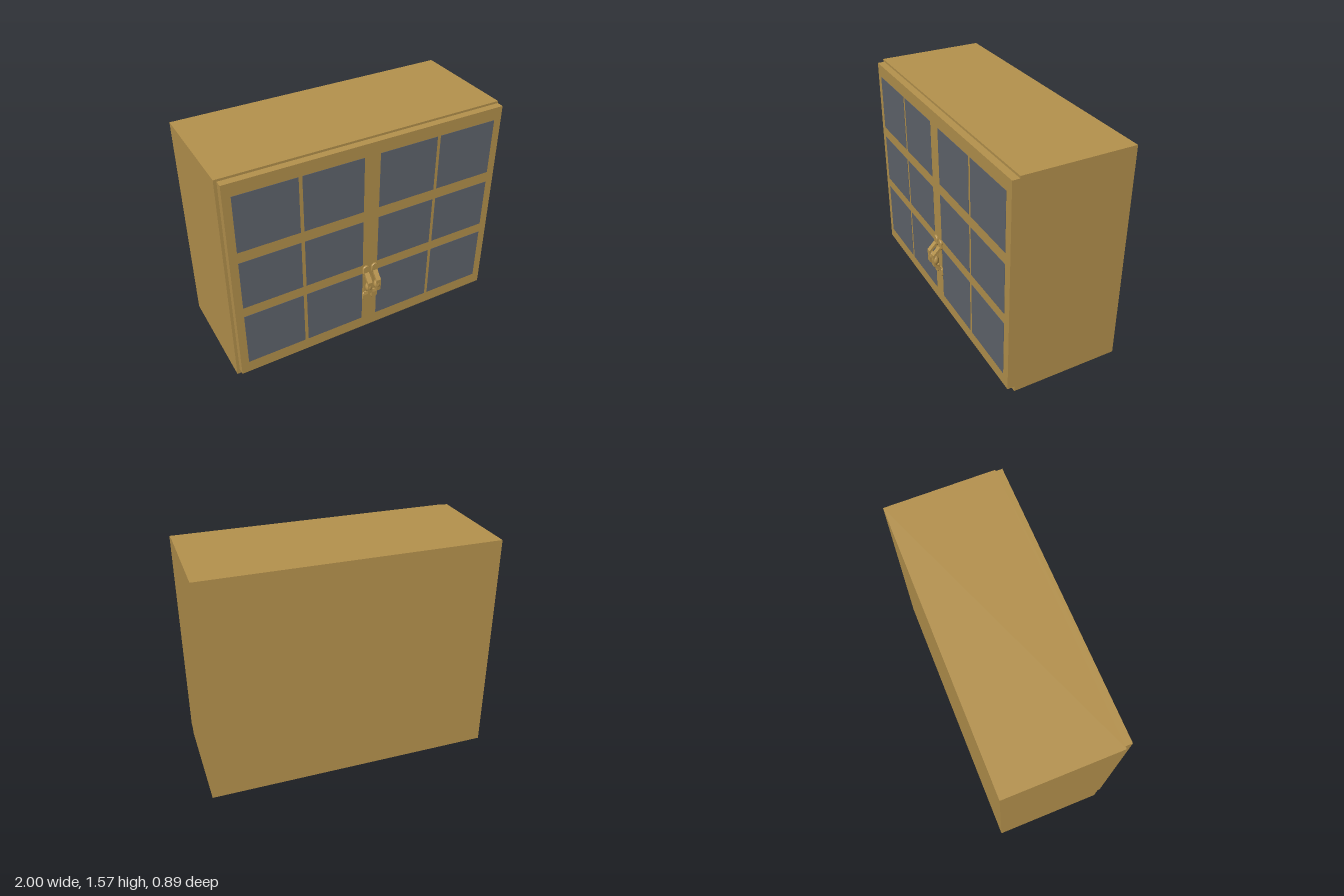
import * as THREE from 'three';

export function createModel() {
  const group = new THREE.Group();
  const wood = new THREE.MeshStandardMaterial({ name: 'wood', color: 0xb5924d });
  const glass = new THREE.MeshStandardMaterial({ name: 'greyGlass', color: 0x60656d });

  const add = (parent, name, geometry, material) => {
    const mesh = new THREE.Mesh(geometry, material);
    mesh.name = name;
    parent.add(mesh);
    return mesh;
  };
  // Box given by its limits on each axis
  const box = (name, material, x0, x1, y0, y1, z0, z1) =>
    add(group, name, new THREE.BoxGeometry(x1 - x0, y1 - y0, z1 - z0), material)
      .position.set((x0 + x1) / 2, (y0 + y1) / 2, (z0 + z1) / 2);

  // Cabinet and door panel
  box('cabinetBody', wood, -1, 1, 0, 1.57, -0.445, 0.325);
  box('doorPanel', wood, -0.98, 1, 0.04, 1.555, 0.325, 0.375);

  // Window panes, four columns by three rows
  const columns = [[-0.925, -0.503], [-0.478, -0.053], [0.062, 0.488], [0.512, 0.942]];
  const rows = [[0.13, 0.54], [0.615, 0.98], [1.06, 1.465]];
  for (const [x0, x1] of columns)
    for (const [y0, y1] of rows) box('windowPane', glass, x0, x1, y0, y1, 0.373, 0.377);

  // Bent strap of a handle, drawn from the side as (z, y) about its middle
  const strapShape = new THREE.Shape([
    [0.375, 0.085], [0.375, -0.085], [0.39, -0.1], [0.442, -0.045], [0.442, 0.045], [0.39, 0.1],
  ].map(([z, y]) => new THREE.Vector2(z, y)));
  strapShape.holes.push(new THREE.Path([
    [0.379, 0.082], [0.427, 0.036], [0.427, -0.036], [0.379, -0.082],
  ].map(([z, y]) => new THREE.Vector2(z, y))));
  const strap = new THREE.ExtrudeGeometry(strapShape, { depth: 0.034, bevelEnabled: false });
  strap.translate(0, 0, -0.017).rotateY(-Math.PI / 2);

  // Round-ended mounting pad
  const r = 0.023, h = 0.015;
  const padShape = new THREE.Shape();
  padShape.absarc(0, h, r, 0, Math.PI);
  padShape.absarc(0, -h, r, Math.PI, 2 * Math.PI);
  const pad = new THREE.ExtrudeGeometry(padShape, {
    depth: 0.008, bevelThickness: 0.004, bevelSize: 0.003, bevelSegments: 1, curveSegments: 8,
  });

  // Knob in the middle of the grip
  const knob = new THREE.SphereGeometry(1, 16, 12).scale(0.028, 0.04, 0.024);

  // Pair of handles
  for (const x of [-0.027, 0.04]) {
    const handle = new THREE.Group();
    handle.name = 'handle';
    handle.position.set(x, 0.45, 0);
    add(handle, 'handleStrap', strap, wood);
    add(handle, 'handleKnob', knob, wood).position.z = 0.421;
    for (const s of [-1, 1]) add(handle, 'handlePad', pad, wood).position.set(0, s * 0.114, 0.376);
    group.add(handle);
  }
  return group;
}
